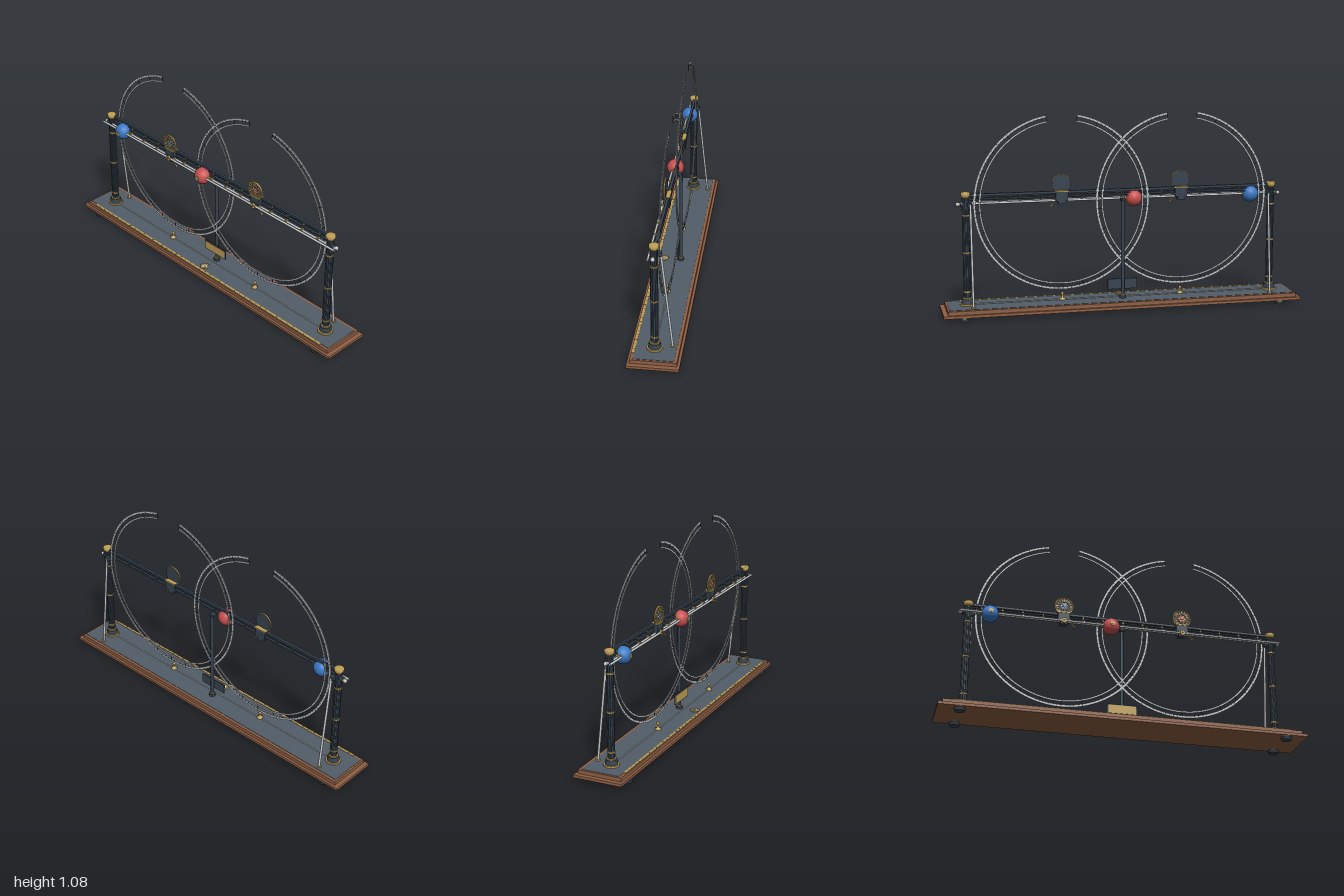
import * as THREE from 'three';

const mat = (name, color) => Object.assign(new THREE.MeshStandardMaterial({ color }), { name });

export function createModel() {
  const wood = mat('walnut', 0x8f5f44), slate = mat('slate', 0x525d68), iron = mat('blued iron', 0x37434f);
  const brass = mat('brass', 0xc0a056), silver = mat('silver', 0xc4c6c8), blue = mat('blue enamel', 0x3a78c4);
  const red = mat('red enamel', 0xc85050), ivory = mat('ivory', 0xe6e2d4);
  const model = new THREE.Group();

  // Helpers
  const add = (parent, name, geo, m, x = 0, y = 0, z = 0) => {
    const o = new THREE.Mesh(geo, m);
    o.name = name;
    o.position.set(x, y, z);
    parent.add(o);
    return o;
  };
  const group = (name, x = 0, y = 0, z = 0, parent = model) => {
    const g = new THREE.Group();
    g.name = name;
    g.position.set(x, y, z);
    parent.add(g);
    return g;
  };
  const box = (w, h, d) => new THREE.BoxGeometry(w, h, d);
  const cyl = (r, h, r2 = r, n = 24) => new THREE.CylinderGeometry(r2, r, h, n);
  const ball = (r) => new THREE.SphereGeometry(r, 32, 20);
  const alongX = (r, l) => cyl(r, l).rotateZ(Math.PI / 2);
  const alongZ = (r, l) => cyl(r, l).rotateX(Math.PI / 2);
  const lathe = (pts) => new THREE.LatheGeometry(pts.map(p => new THREE.Vector2(...p)), 28);
  const rod = (parent, name, a, b, r, m) => {
    const A = new THREE.Vector3(...a), B = new THREE.Vector3(...b), d = B.clone().sub(A);
    const o = add(parent, name, cyl(r, d.length(), r, 12), m);
    o.position.copy(A).lerp(B, 0.5);
    o.quaternion.setFromUnitVectors(new THREE.Vector3(0, 1, 0), d.normalize());
  };

  // Stepped base with inlay, scale strip and feet
  const base = group('base');
  add(base, 'lowerPlinth', box(2, 0.015, 0.272), wood, 0, 0.0295);
  add(base, 'upperPlinth', box(1.95, 0.021, 0.244), wood, 0, 0.0475);
  add(base, 'inlay', box(1.93, 0.003, 0.212), slate, 0, 0.0585);
  add(base, 'scaleStrip', box(1.83, 0.004, 0.014), brass, 0, 0.06, 0.112);
  for (let i = -22; i <= 22; i++)
    add(base, 'scaleTick', box(0.003, 0.001, i % 5 ? 0.006 : 0.011), iron, i * 0.04, 0.0624, 0.112);
  add(base, 'baseWire', alongX(0.003, 1.62), silver, 0, 0.063, 0.008);
  for (const x of [-0.885, 0.885]) for (const z of [-0.105, 0.108]) {
    add(base, 'foot', cyl(0.027, 0.016, 0.031), iron, x, 0.008, z);
    add(base, 'footCollar', cyl(0.024, 0.007), brass, x, 0.0195, z);
  }

  // Bull's-eye level on the base
  const level = group('level', 0, 0.06, 0.075);
  add(level, 'levelRim', new THREE.TorusGeometry(0.02, 0.005, 10, 28).rotateX(Math.PI / 2), brass, 0, 0.004);
  add(level, 'levelGlass', cyl(0.019, 0.005), ivory, 0, 0.0025);
  add(level, 'levelBubble', cyl(0.007, 0.002), brass, 0, 0.006);

  // Small turned pegs under each ring
  for (const x of [-0.335, 0.335])
    add(model, 'peg', lathe([[0.016, 0], [0.016, 0.01], [0.006, 0.014], [0.005, 0.03], [0.009, 0.036], [0.006, 0.044], [0, 0.046]]),
      brass, x, 0.059, 0.01);

  // Fluted end columns, rear struts and rail end knobs
  for (const s of [-1, 1]) {
    const col = group(s > 0 ? 'leftColumn' : 'rightColumn', s * 0.858, 0, 0.007);
    add(col, 'columnFlange', cyl(0.042, 0.01), brass, 0, 0.064);
    add(col, 'columnPlinth', cyl(0.034, 0.026, 0.03), iron, 0, 0.082);
    add(col, 'plinthRing', cyl(0.026, 0.007), brass, 0, 0.098);
    add(col, 'columnCore', cyl(0.016, 0.57), iron, 0, 0.38);
    for (let i = 0; i < 8; i++) {
      const a = i * Math.PI / 4;
      add(col, 'flute', cyl(0.005, 0.56, 0.005, 10), iron, 0.0155 * Math.cos(a), 0.38, 0.0155 * Math.sin(a));
    }
    for (const y of [0.135, 0.35, 0.555]) add(col, 'columnBand', cyl(0.0225, 0.007), brass, 0, y);
    add(col, 'columnCap', lathe([[0, 0], [0.02, 0], [0.022, 0.008], [0.026, 0.012], [0.026, 0.026], [0.02, 0.03], [0, 0.031]]), brass, 0, 0.65);
    add(col, 'knobCollar', alongX(0.015, 0.014), iron, s * 0.022, 0.615);
    add(col, 'knobStem', alongX(0.008, 0.025), brass, s * 0.03, 0.615);
    add(col, 'endKnob', ball(0.011), silver, s * 0.042, 0.615);
    rod(model, 'strut', [s * 0.835, 0.615, -0.024], [s * 0.835, 0.06, -0.083], 0.0065, silver);
    add(model, 'strutClamp', box(0.022, 0.022, 0.03), iron, s * 0.838, 0.615, -0.014);
    add(model, 'strutShoe', cyl(0.012, 0.008), brass, s * 0.835, 0.063, -0.083);
  }

  // Cross beam with spacers, plus the polished double rail
  const beam = group('beam');
  add(beam, 'upperBeam', box(1.7, 0.013, 0.014), iron, 0, 0.664, 0.002);
  add(beam, 'middleBeam', box(1.7, 0.006, 0.008), iron, 0, 0.648, 0.002);
  add(beam, 'lowerBeam', box(1.7, 0.009, 0.014), iron, 0, 0.632, 0.002);
  for (let i = -7; i <= 7; i++) {
    add(beam, 'spacer', box(0.006, 0.045, 0.008), iron, i * 0.112, 0.648, 0.002);
    add(beam, 'spacerStud', alongZ(0.005, 0.004), brass, i * 0.112, 0.648, 0.008);
    add(beam, 'railBracket', box(0.007, 0.008, 0.03), brass, i * 0.112, 0.624, 0.016);
  }
  for (const z of [0.014, 0.032]) add(beam, 'rail', alongX(0.006, 1.81), silver, 0, 0.615, z);

  // Graduated open rings
  const gap = 0.18, start = Math.PI / 2 + gap, sweep = 2 * Math.PI - 2 * gap;
  const band = (r0, r1, h) => {
    const s = new THREE.Shape();
    s.absarc(0, 0, r1, start, start + sweep, false);
    s.absarc(0, 0, r0, start + sweep, start, true);
    return new THREE.ExtrudeGeometry(s, { depth: h, bevelEnabled: false, curveSegments: 96 }).translate(0, 0, -h / 2);
  };
  for (const x of [-0.335, 0.335]) {
    const ring = group('graduatedRing', x, 0.608, -0.01);
    add(ring, 'outerBand', band(0.471, 0.484, 0.004), silver);
    add(ring, 'innerBand', band(0.444, 0.453, 0.004), silver);
    for (let i = 0; i <= 120; i++) {
      const a = start + sweep * i / 120, major = i % 5 === 0;
      const len = major ? 0.036 : 0.011, r = major ? 0.464 : 0.4735;
      const t = add(ring, 'ringTick', box(len, 0.0025, 0.005), iron, r * Math.cos(a), r * Math.sin(a));
      t.rotation.z = a;
    }
  }

  // Central post with name plate
  const post = group('centrePost', 0, 0, -0.021);
  add(post, 'postShaft', cyl(0.009, 0.55), iron, 0, 0.335);
  add(post, 'postFoot', cyl(0.018, 0.014), iron, 0, 0.067);
  add(post, 'postRing', cyl(0.013, 0.006), brass, 0, 0.078);
  add(post, 'postHead', box(0.024, 0.012, 0.03), iron, 0, 0.612, 0.008);
  add(post, 'plateBacking', box(0.166, 0.058, 0.006), iron, 0, 0.138, 0.011);
  add(post, 'plate', box(0.154, 0.047, 0.003), brass, 0, 0.138, 0.015);

  // Sliding balls with brass collars
  for (const [x, m, name] of [[-0.74, blue, 'blueBall'], [-0.07, red, 'redBall']]) {
    const b = group(name, x, 0.614, 0.019);
    add(b, 'sphere', ball(0.047), m);
    for (const s of [-1, 1]) add(b, 'sideCollar', alongX(0.012, 0.012), brass, s * 0.047);
    add(b, 'frontBoss', alongZ(0.013, 0.006), brass, 0, 0, 0.0445);
    add(b, 'frontPin', alongZ(0.005, 0.004), ivory, 0, 0, 0.0475);
  }

  // Dials on clamps above the beam
  for (const [x, m] of [[-0.335, blue], [0.335, red]]) {
    const d = group('dial', x, 0.705, 0.018);
    add(d, 'dialDisc', alongZ(0.051, 0.008), iron);
    add(d, 'dialRim', new THREE.TorusGeometry(0.05, 0.0045, 10, 40), brass, 0, 0, 0.003);
    add(d, 'dialInnerRing', new THREE.TorusGeometry(0.027, 0.0025, 8, 32), brass, 0, 0, 0.006);
    for (let i = 0; i < 16; i++) {
      const a = i * Math.PI / 8;
      add(d, 'dialTick', box(0.015, 0.005, 0.003), brass, 0.038 * Math.cos(a), 0.038 * Math.sin(a), 0.005).rotation.z = a;
    }
    add(d, 'dialCentre', alongZ(0.019, 0.004), m, 0, 0, 0.005);
    for (let i = 0; i < 3; i++) add(d, 'dialSpoke', box(0.046, 0.003, 0.003), ivory, 0, 0, 0.007).rotation.z = i * Math.PI / 3;
    add(d, 'dialHub', alongZ(0.007, 0.01), brass, 0, 0, 0.009);
    const c = group('clamp', x, 0.64, 0.01);
    add(c, 'clampBody', box(0.066, 0.056, 0.034), iron, 0, 0.002);
    add(c, 'clampStrip', box(0.074, 0.006, 0.038), brass, 0, 0.028);
    add(c, 'clampJaw', box(0.04, 0.034, 0.036), iron, 0, -0.026, 0.002);
    add(c, 'clampScrew', alongZ(0.015, 0.012), brass, 0, -0.025, 0.024);
    add(c, 'screwTip', alongZ(0.005, 0.004), iron, 0, -0.025, 0.031);
    const lever = new THREE.CatmullRomCurve3([[0.03, -0.016], [0.045, -0.022], [0.044, -0.042], [0.056, -0.056]]
      .map(([a, b]) => new THREE.Vector3(a, b, 0.016)));
    add(c, 'lever', new THREE.TubeGeometry(lever, 14, 0.004, 8), brass);
    add(c, 'leverTip', ball(0.006), brass, 0.056, -0.056, 0.016);
  }
  return model;
}
